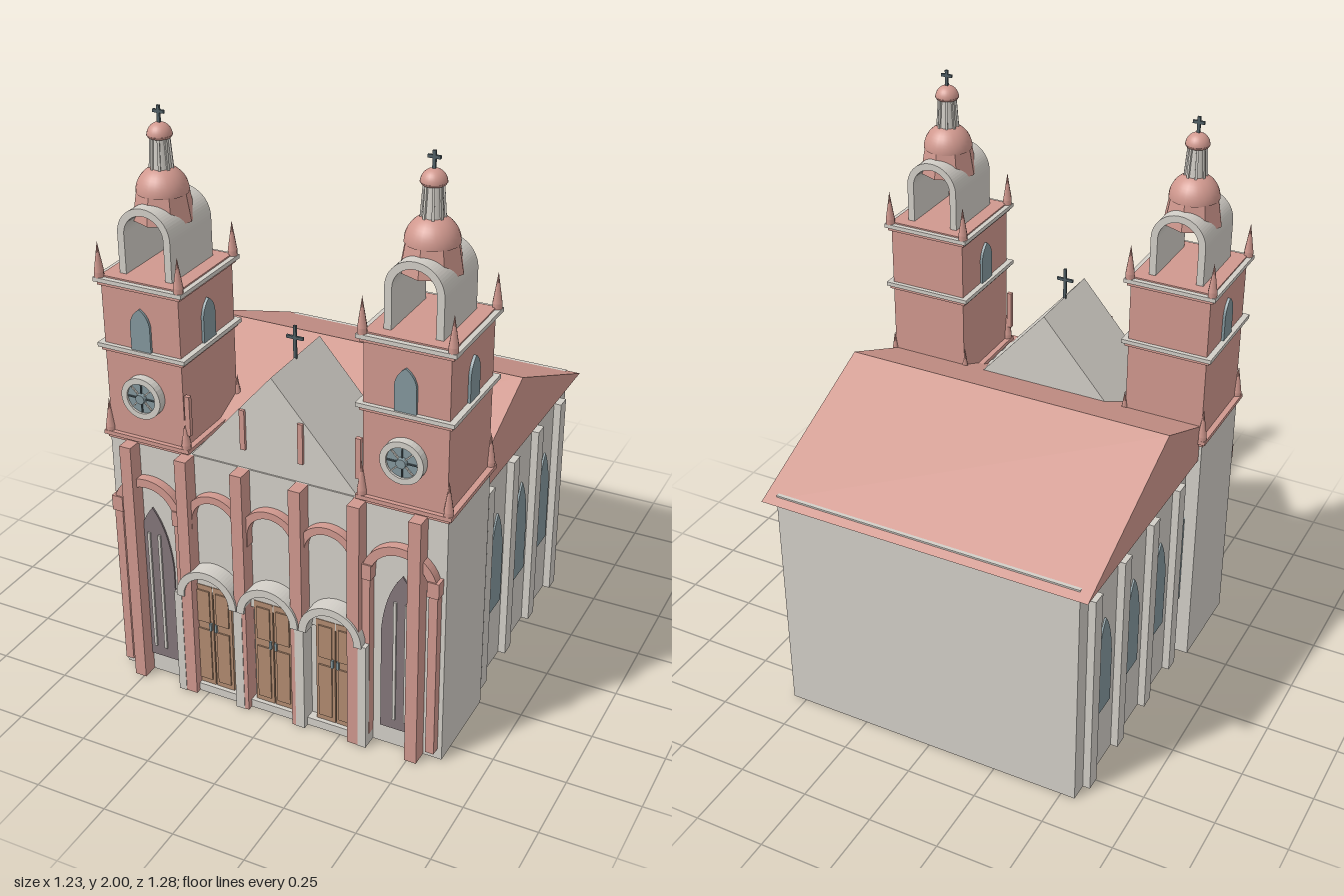
import * as THREE from 'three';

const mat = (name, color) => Object.assign(new THREE.MeshStandardMaterial({ color }), { name });

export function createModel() {
  const stone = mat('pale stone', 0xd2cec7);
  const pink = mat('pink stone', 0xd0988e);
  const glass = mat('blue grey glass', 0x83979d);
  const dark = mat('dark purple glass', 0x83767a);
  const wood = mat('door wood', 0xb18b70);
  const iron = mat('dark iron', 0x4f5d63);
  const model = new THREE.Group();
  model.name = 'church';

  const add = (parent, name, geo, material, x = 0, y = 0, z = 0) => {
    const m = new THREE.Mesh(geo, material);
    m.name = name;
    m.position.set(x, y, z);
    parent.add(m);
    return m;
  };
  // box given by its limits on each axis
  const box = (parent, name, material, x0, x1, y0, y1, z0, z1) =>
    add(parent, name, new THREE.BoxGeometry(x1 - x0, y1 - y0, z1 - z0), material,
      (x0 + x1) / 2, (y0 + y1) / 2, (z0 + z1) / 2);
  const extrude = (shape, depth) =>
    new THREE.ExtrudeGeometry(shape, { depth, bevelEnabled: false, curveSegments: 16 });
  const polygon = (pts) => new THREE.Shape(pts.map(([x, y]) => new THREE.Vector2(x, y)));

  // pointed window outline, standing on y = 0
  const lancet = (hw, spring, top) => {
    const s = new THREE.Shape();
    s.moveTo(-hw, 0);
    s.lineTo(hw, 0);
    s.lineTo(hw, spring);
    s.quadraticCurveTo(hw * 0.85, spring + (top - spring) * 0.65, 0, top);
    s.quadraticCurveTo(-hw * 0.85, spring + (top - spring) * 0.65, -hw, spring);
    return s;
  };
  // round arch with legs
  const archBand = (outer, inner, y0, spring) => {
    const s = new THREE.Shape();
    s.moveTo(-outer, y0);
    s.lineTo(-outer, spring);
    s.absarc(0, spring, outer, Math.PI, 0, true);
    s.lineTo(outer, y0);
    s.lineTo(inner, y0);
    s.lineTo(inner, spring);
    s.absarc(0, spring, inner, 0, Math.PI, false);
    s.lineTo(-inner, y0);
    return s;
  };
  const cross = (parent, x, y, z, h, arm) => {
    const g = new THREE.Group();
    g.name = 'cross';
    g.position.set(x, y, z);
    parent.add(g);
    box(g, 'crossUpright', iron, -0.005, 0.005, 0, h, -0.004, 0.004);
    box(g, 'crossArm', iron, -arm, arm, h * 0.6, h * 0.6 + 0.01, -0.004, 0.004);
  };

  // nave, roof and facade block
  box(model, 'nave', stone, -0.55, 0.55, 0, 0.862, -0.61, 0.3);
  box(model, 'facadeBlock', stone, -0.6, 0.6, 0, 0.91, 0.245, 0.575);
  const roof = extrude(polygon([[-0.64, 0.843], [0.555, 0.843], [-0.04, 1.105]]), 1.18);
  add(model, 'naveRoof', roof.translate(0, 0, -0.59).rotateY(-Math.PI / 2), pink);
  add(model, 'frontGable', extrude(polygon([[-0.305, 0.9], [0.305, 0.9], [0, 1.252]]), 0.325), stone, 0, 0, 0.245);
  cross(model, 0, 1.245, 0.41, 0.115, 0.03);

  // nave side walls
  for (const s of [-1, 1]) {
    for (const z of [0.155, -0.068, -0.297, -0.52])
      box(model, 'sidePilaster', stone, s * 0.562 - 0.014, s * 0.562 + 0.014, 0, 0.78, z - 0.026, z + 0.026);
    for (const z of [0.26, 0.035, -0.19, -0.415]) {
      const w = add(model, 'sideWindow', extrude(lancet(0.055, 0.2, 0.38), 0.006), glass, s * 0.55, 0.24, z);
      w.rotation.y = s * Math.PI / 2;
    }
  }

  // facade buttresses and the strips above them
  for (const x of [-0.513, -0.307, -0.104, 0.104, 0.307, 0.513])
    box(model, 'buttress', pink, x - 0.021, x + 0.021, 0, 0.91, 0.57, 0.63);
  for (const x of [-0.3, -0.102, 0.102, 0.3])
    box(model, 'gableStrip', pink, x - 0.009, x + 0.009, 0.98, 1.12, 0.565, 0.58);

  // blind arcade
  for (const x of [-0.205, 0, 0.205])
    add(model, 'arcadeArch', extrude(archBand(0.106, 0.08, 0.64, 0.685), 0.035), pink, x, 0, 0.572);
  for (const s of [-1, 1]) {
    add(model, 'towerBayArch', extrude(archBand(0.13, 0.1, 0.04, 0.66), 0.035), pink, s * 0.455, 0, 0.572);
    for (const x of [0.34, 0.57])
      box(model, 'impost', pink, s * x - 0.02, s * x + 0.02, 0.645, 0.7, 0.572, 0.612);
    add(model, 'towerBayWindow', extrude(lancet(0.072, 0.38, 0.6), 0.008), dark, s * 0.455, 0.07, 0.573);
    for (const x of [0.432, 0.472])
      box(model, 'windowBar', stone, s * x - 0.005, s * x + 0.005, 0.11, 0.57, 0.578, 0.587);
  }

  // triple porch
  for (const x of [-0.228, 0, 0.228]) {
    const porch = new THREE.Group();
    porch.name = 'porch';
    porch.position.x = x;
    model.add(porch);
    add(porch, 'porchHood', extrude(archBand(0.112, 0.085, 0.395, 0.4), 0.065), stone, 0, 0, 0.573);
    const tympanum = new THREE.Shape();
    tympanum.moveTo(-0.09, 0.4);
    tympanum.lineTo(0.09, 0.4);
    tympanum.absarc(0, 0.4, 0.09, 0, Math.PI, false);
    add(porch, 'tympanum', extrude(tympanum, 0.02), stone, 0, 0, 0.573);
    for (const s of [-1, 1]) {
      box(porch, 'porchColumn', stone, s * 0.112 - 0.014, s * 0.112 + 0.014, 0, 0.4, 0.573, 0.632);
      box(porch, 'doorLeaf', wood, s * 0.036 - 0.034, s * 0.036 + 0.034, 0.03, 0.43, 0.573, 0.595);
      for (const [y0, y1] of [[0.05, 0.255], [0.285, 0.41]])
        box(porch, 'doorPanel', wood, s * 0.036 - 0.024, s * 0.036 + 0.024, y0, y1, 0.59, 0.6);
      box(porch, 'doorHandle', glass, s * 0.01 - 0.004, s * 0.01 + 0.004, 0.255, 0.285, 0.592, 0.603);
    }
    box(porch, 'threshold', stone, -0.115, 0.115, 0, 0.03, 0.573, 0.61);
  }

  // towers, each built around its own axis
  for (const s of [-1, 1]) {
    const t = new THREE.Group();
    t.name = s > 0 ? 'leftTower' : 'rightTower';
    t.position.set(s * 0.455, 0, 0.41);
    model.add(t);
    box(t, 'towerShaft', pink, -0.14, 0.14, 0.9, 1.46, -0.165, 0.165);
    for (const y of [0.905, 1.222, 1.448]) {
      box(t, 'corniceBed', pink, -0.15, 0.15, y, y + 0.014, -0.172, 0.172);
      box(t, 'cornice', y < 1 ? pink : stone, -0.16, 0.16, y + 0.012, y + 0.026, -0.18, 0.18);
    }
    box(t, 'towerDeck', pink, -0.143, 0.143, 1.46, 1.479, -0.163, 0.163);
    // corner pinnacles on the lower and upper cornices
    for (const y of [0.925, 1.472])
      for (const px of [-0.144, 0.144])
        for (const pz of [-0.165, 0.165]) {
          add(t, 'pinnacleBase', new THREE.CylinderGeometry(0.016, 0.016, 0.02, 8), pink, px, y + 0.01, pz);
          add(t, 'pinnacle', new THREE.ConeGeometry(0.016, 0.1, 8), pink, px, y + 0.07, pz);
        }
    // windows on the front and both sides
    for (const [x, z, a] of [[0, 0.165, 0], [0.14, 0, Math.PI / 2], [-0.14, 0, -Math.PI / 2]]) {
      const w = add(t, 'towerWindow', extrude(lancet(0.036, 0.09, 0.146), 0.009), glass, x, 1.246, z);
      w.rotation.y = a;
    }
    // rose window
    const rose = new THREE.Group();
    rose.name = 'roseWindow';
    rose.position.set(0, 1.088, 0.165);
    t.add(rose);
    const ring = new THREE.Shape().absarc(0, 0, 0.072, 0, Math.PI * 2, false);
    ring.holes.push(new THREE.Path().absarc(0, 0, 0.052, 0, Math.PI * 2, true));
    add(rose, 'roseRing', extrude(ring, 0.03), stone);
    add(rose, 'roseGlass', new THREE.CylinderGeometry(0.054, 0.054, 0.02, 32).rotateX(Math.PI / 2), glass, 0, 0, 0.012);
    for (let i = 0; i < 4; i++)
      add(rose, 'roseSpoke', new THREE.BoxGeometry(0.1, 0.004, 0.006), i % 2 ? stone : iron, 0, 0, 0.024)
        .rotation.z = i * Math.PI / 4;
    add(rose, 'roseHub', new THREE.CylinderGeometry(0.016, 0.018, 0.014, 16).rotateX(Math.PI / 2), glass, 0, 0, 0.029);

    // belfry vault, dome, lantern and cap
    add(t, 'belfryVault', extrude(archBand(0.095, 0.071, 1.47, 1.612), 0.246), stone, 0, 0, -0.123);
    const skirt = new THREE.CylinderGeometry(0.084, 0.1, 0.09, 8).toNonIndexed();
    skirt.computeVertexNormals();
    add(t, 'domeSkirt', skirt, pink, 0, 1.685, 0);
    add(t, 'dome', new THREE.SphereGeometry(0.084, 24, 12, 0, Math.PI * 2, 0, Math.PI / 2), pink, 0, 1.726, 0);
    add(t, 'lantern', new THREE.CylinderGeometry(0.026, 0.034, 0.11, 16), stone, 0, 1.855, 0);
    for (let i = 0; i < 8; i++) {
      const a = (i + 0.5) * Math.PI / 4;
      const rib = add(t, 'lanternRib', new THREE.BoxGeometry(0.008, 0.108, 0.008), stone,
        Math.sin(a) * 0.031, 1.855, Math.cos(a) * 0.031);
      rib.rotation.set(-0.07, a, 0, 'YXZ');
    }
    add(t, 'lanternCapRim', new THREE.CylinderGeometry(0.041, 0.036, 0.008, 24), pink, 0, 1.904, 0);
    add(t, 'lanternCap', new THREE.SphereGeometry(0.04, 24, 10, 0, Math.PI * 2, 0, Math.PI / 2), pink, 0, 1.907, 0);
    cross(t, 0, 1.94, 0, 0.06, 0.02);
  }
  return model;
}
